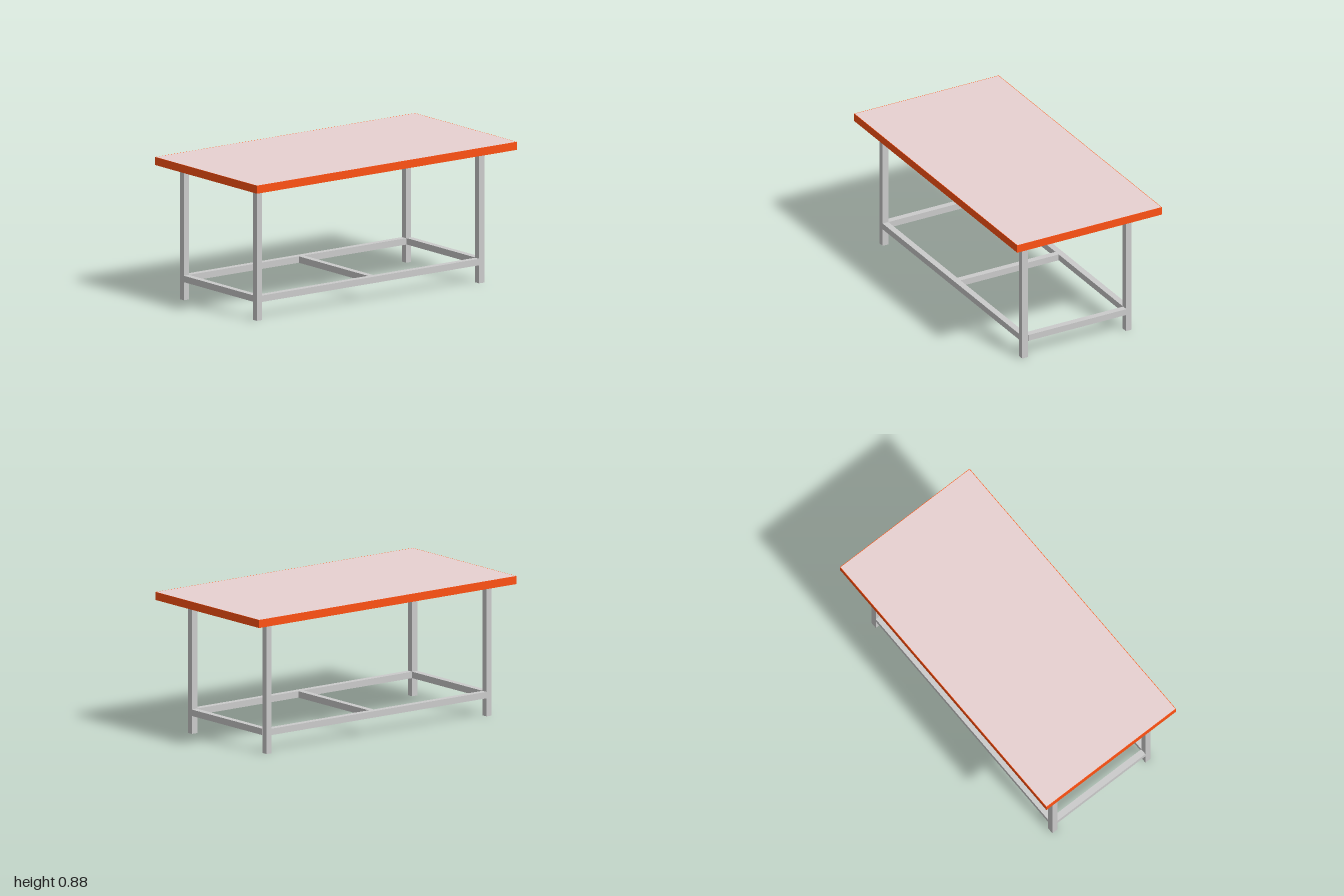
import * as THREE from 'three';

export function createModel() {
  const group = new THREE.Group();
  const steel = new THREE.MeshStandardMaterial({ color: 0xcccccc });
  const laminate = new THREE.MeshStandardMaterial({ color: 0xe8d2d2 });
  const orange = new THREE.MeshStandardMaterial({ color: 0xff5214 });

  const box = (name, material, size, position) => {
    const mesh = new THREE.Mesh(new THREE.BoxGeometry(...size), material);
    mesh.name = name;
    mesh.position.set(...position);
    group.add(mesh);
  };

  const topY = 0.853, topH = 0.05, halfZ = 0.507, trim = 0.003;
  const bar = 0.04, legX = [-0.885, 0.825], legZ = 0.364;
  const railY = 0.133, midX = (legX[0] + legX[1]) / 2;

  // Table top with coloured edge banding
  box('tableTop', laminate, [2 - 2 * trim, topH, 2 * (halfZ - trim)], [0, topY, 0]);
  for (const s of [-1, 1]) {
    box('longEdgeBand', orange, [2, topH, trim], [0, topY, s * (halfZ - trim / 2)]);
    box('shortEdgeBand', orange, [trim, topH, 2 * (halfZ - trim)], [s * (1 - trim / 2), topY, 0]);
  }

  // Square legs and the long rails between them
  const legH = topY - topH / 2;
  for (const s of [-1, 1]) {
    for (const x of legX) box('leg', steel, [bar, legH, bar], [x, legH / 2, s * legZ]);
    box('longRail', steel, [legX[1] - legX[0] - bar, bar, bar], [midX, railY, s * legZ]);
  }

  // Cross rails at both ends and in the middle; the left one sits slightly proud
  for (const x of [legX[0], 0, legX[1] + 0.005])
    box('crossRail', steel, [bar, bar, 2 * legZ - bar], [x, railY, 0]);

  return group;
}
